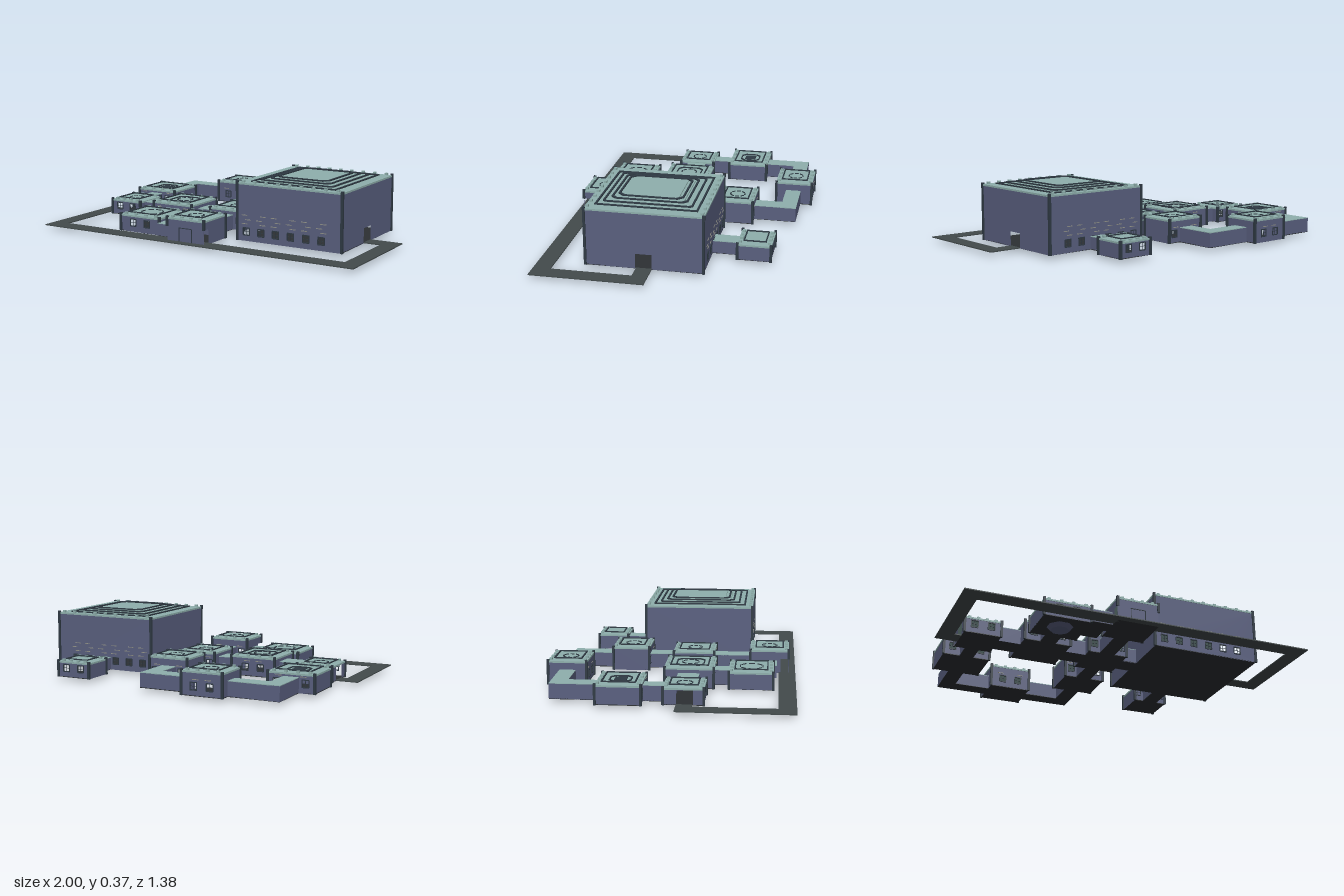
import * as THREE from 'three';

const mat = (color, extra = {}) => new THREE.MeshStandardMaterial({ color, ...extra });
const WALL = mat(0x5a6080);
const TEAL = mat(0x8fb0ad);
const DARK = mat(0x2f3a44);
const PAVING = mat(0x434b4c);
const FLOOR = mat(0x2c3033);
const SLIT = mat(0x8f9088);
const BASE = 0.02, DOOR_TOP = 0.105;

// Box given by its limits on each axis
function block(parent, name, m, x0, x1, y0, y1, z0, z1) {
  const mesh = new THREE.Mesh(new THREE.BoxGeometry(x1 - x0, y1 - y0, z1 - z0), m);
  mesh.position.set((x0 + x1) / 2, (y0 + y1) / 2, (z0 + z1) / 2);
  mesh.name = name;
  parent.add(mesh);
  return mesh;
}

// Flat rectangular frame lying on a roof
function roofFrame(parent, cx, cz, hx, hz, y, t = 0.008, h = 0.005, cut = 0) {
  const outline = (s, a, b, c) => {
    if (!c) s.moveTo(-a, -b).lineTo(a, -b).lineTo(a, b).lineTo(-a, b).closePath();
    else {
      s.moveTo(-a + c, -b).lineTo(a - c, -b).lineTo(a, -b + c).lineTo(a, b - c)
        .lineTo(a - c, b).lineTo(-a + c, b).lineTo(-a, b - c).lineTo(-a, -b + c).closePath();
    }
    return s;
  };
  const shape = outline(new THREE.Shape(), hx, hz, cut);
  shape.holes.push(outline(new THREE.Path(), hx - t, hz - t, cut));
  const mesh = new THREE.Mesh(new THREE.ExtrudeGeometry(shape, { depth: h, bevelEnabled: false }), DARK);
  mesh.rotation.x = -Math.PI / 2;
  mesh.position.set(cx, y, cz);
  mesh.name = 'roofFrame';
  parent.add(mesh);
}

// Eight separate bars around a roof centre
function dashedOctagon(parent, cx, cz, r, y) {
  for (let i = 0; i < 8; i++) {
    const a = i * Math.PI / 4;
    const bar = new THREE.Mesh(new THREE.BoxGeometry(r * 0.55, 0.004, 0.006), DARK);
    bar.position.set(cx + Math.sin(a) * r, y, cz + Math.cos(a) * r);
    bar.rotation.y = a;
    bar.name = 'roofOctagonBar';
    parent.add(bar);
  }
}

// One outward-facing wall; openings are [u0, u1, y0, y1] around the wall centre
function wall(parent, name, w, top, openings, x, z, turn) {
  const s = new THREE.Shape();
  s.moveTo(-w / 2, BASE).lineTo(w / 2, BASE).lineTo(w / 2, top).lineTo(-w / 2, top).closePath();
  for (const [a, b, c, d] of openings) {
    s.holes.push(new THREE.Path().moveTo(a, c).lineTo(a, d).lineTo(b, d).lineTo(b, c).closePath());
  }
  const g = new THREE.Group();
  g.name = name;
  const mesh = new THREE.Mesh(new THREE.ShapeGeometry(s), WALL);
  mesh.name = name + 'Panel';
  g.add(mesh);
  g.position.set(x, 0, z);
  g.rotation.y = turn;
  parent.add(g);
  return g;
}

// Window frame with a cross bar
function windowFrame(g, u) {
  const h = 0.02, y0 = 0.054, y1 = 0.094;
  block(g, 'windowSill', DARK, u - h, u + h, y0 - 0.003, y0 + 0.002, -0.002, 0.005);
  block(g, 'windowHead', DARK, u - h, u + h, y1 - 0.002, y1 + 0.003, -0.002, 0.005);
  for (const d of [-h, h]) block(g, 'windowJamb', DARK, u + d - 0.002, u + d + 0.002, y0, y1, -0.002, 0.004);
  block(g, 'windowMullion', DARK, u - 0.001, u + 0.001, y0, y1, -0.001, 0.002);
  block(g, 'windowTransom', DARK, u - h, u + h, 0.073, 0.075, -0.001, 0.002);
}

// Room: walls with openings, roof slab, posts, battlements and roof pattern
function room(root, r) {
  const { x0, x1, z0, z1, top } = r;
  const g = new THREE.Group();
  g.name = r.name;
  root.add(g);
  const cx = (x0 + x1) / 2, cz = (z0 + z1) / 2, w = x1 - x0, d = z1 - z0;

  block(g, 'floor', FLOOR, x0, x1, BASE, BASE + 0.004, z0, z1);
  block(g, 'roof', TEAL, x0 - 0.003, x1 + 0.003, top - 0.01, top, z0 - 0.003, z1 + 0.003);

  // Side walls
  for (const s of [1, -1]) {
    const door = s > 0 ? r.doorPlus : r.doorMinus;
    const holes = door ? [[Math.min(-s * (door[0] - cz), -s * (door[1] - cz)),
      Math.max(-s * (door[0] - cz), -s * (door[1] - cz)), BASE + 0.004, Math.min(DOOR_TOP, top - 0.012)]] : [];
    wall(g, s > 0 ? 'leftWall' : 'rightWall', d, top - 0.005, holes, s > 0 ? x1 : x0, cz, s * Math.PI / 2);
  }

  // Front and back walls with windows and vent slits
  for (const s of [1, -1]) {
    const blocked = s > 0 ? r.joinFront : r.joinBack;
    let us = r.windows || (blocked ? [-0.083, 0.083] : [-0.048, 0.048]);
    us = us.map(u => u * s).filter(u => !r.plainFront || s < 0);
    const holes = us.map(u => [u - 0.02, u + 0.02, 0.054, 0.094]);
    const face = wall(g, s > 0 ? 'frontWall' : 'backWall', w, top - 0.005, holes, cx, s > 0 ? z1 : z0, s > 0 ? 0 : Math.PI);
    us.forEach((u, i) => {
      windowFrame(face, u);
      const rows = top > 0.3 ? [0.115, 0.138, 0.163] : [0.108];
      rows.forEach((y, k) => {
        if (y > top - 0.012) return;
        const shift = ((i + k) % 2) * 0.024 - 0.012;
        block(face, 'ventSlit', SLIT, u + shift - 0.018, u + shift + 0.018, y, y + 0.004, 0, 0.003);
      });
    });
    if (r.plainFront && s > 0) {
      for (const u of [-0.042, 0.042]) block(face, 'doorJamb', DARK, u - 0.002, u + 0.002, 0.025, 0.1, 0, 0.003);
      block(face, 'doorHead', DARK, -0.042, 0.042, 0.1, 0.104, 0, 0.003);
    }
    // Battlement blocks along the roof edge
    const n = top > 0.3 ? 9 : 4, span = w - 0.06;
    for (let i = 0; i < n; i++) {
      const x = cx - span / 2 + span * i / (n - 1), z = (s > 0 ? z1 - 0.012 : z0 + 0.012);
      block(g, 'battlement', TEAL, x - 0.008, x + 0.008, top, top + 0.012, z - 0.008, z + 0.008);
    }
    // Corner posts
    for (const x of [x0, x1]) {
      const z = s > 0 ? z1 : z0, y0 = r.plainFront && s > 0 ? DOOR_TOP : BASE;
      block(g, 'cornerPost', DARK, x - 0.007, x + 0.007, y0, top + 0.008, z - 0.007, z + 0.007);
    }
  }

  // Roof pattern
  if (top > 0.3) {
    [[0.06, 0], [0.095, 0.012], [0.13, 0.025], [0.16, 0.03]].forEach(([inset, cut], i) => {
      const hx = w / 2 - inset, hz = d / 2 - inset + 0.018, y = top + i * 0.007;
      if (i) block(g, 'roofStep', TEAL, cx - hx + cut, cx + hx - cut, top, y, cz - hz + cut, cz + hz - cut);
      roofFrame(g, cx, cz, hx, hz, y, 0.01, 0.007, cut);
    });
    return;
  }
  roofFrame(g, cx, cz, w / 2 - 0.03, d / 2 - 0.028, top + 0.008, 0.007, 0.006);
  if (r.octagon) dashedOctagon(g, cx, cz, r.octagon, top + 0.004);
  if (r.innerFrame) roofFrame(g, cx, cz, r.innerFrame, r.innerFrame, top, 0.006, 0.006, 0.025);
  if (r.hatch) block(g, 'roofHatch', DARK, cx - 0.033, cx + 0.033, top, top + 0.004, cz - 0.033, cz + 0.033);
}

// Corridor: open at both ends when it runs along x through doorways
function corridor(root, x0, x1, z0, z1, open = false, top = 0.107) {
  const g = new THREE.Group();
  g.name = 'corridor';
  root.add(g);
  if (open) {
    for (const z of [z0, z1 - 0.004]) block(g, 'corridorWall', WALL, x0, x1, BASE, top - 0.003, z, z + 0.004);
  } else block(g, 'corridorWalls', WALL, x0, x1, BASE + 0.002, top - 0.003, z0, z1);
  block(g, 'corridorFloor', FLOOR, x0, x1, BASE, BASE + 0.004, z0, z1);
  block(g, 'corridorRoof', TEAL, x0, x1, top - 0.004, top, z0, z1);
}

export function createModel() {
  const root = new THREE.Group();
  root.name = 'buildingComplex';
  const door = [0.06, 0.15];

  const rooms = [
    { name: 'greatHall', x0: 0.17, x1: 0.81, z0: -0.22, z1: 0.425, top: 0.345, doorPlus: door, doorMinus: door,
      windows: [-0.263, -0.17, -0.078, 0.015, 0.108, 0.2] },
    { name: 'centreRoom', x0: -0.145, x1: 0.085, z0: -0.02, z1: 0.215, top: 0.135, doorPlus: door, doorMinus: door,
      joinFront: true, joinBack: true, octagon: 0.04 },
    { name: 'middleRoom', x0: -0.535, x1: -0.265, z0: -0.035, z1: 0.235, top: 0.135, doorPlus: door, doorMinus: door,
      joinFront: true, octagon: 0.045, innerFrame: 0.078 },
    { name: 'entryRoom', x0: -0.872, x1: -0.662, z0: -0.008, z1: 0.205, top: 0.112, doorPlus: door, doorMinus: door,
      joinBack: true, octagon: 0.04 },
    { name: 'hatchRoom', x0: -0.905, x1: -0.635, z0: -0.36, z1: -0.12, top: 0.127, joinFront: true, joinBack: true,
      hatch: true, innerFrame: 0.06 },
    { name: 'backRoom', x0: -0.52, x1: -0.28, z0: -0.685, z1: -0.47, top: 0.155, octagon: 0.042 },
    { name: 'innerBackRoom', x0: -0.15, x1: 0.09, z0: -0.375, z1: -0.165, top: 0.155, joinFront: true, joinBack: true,
      octagon: 0.042 },
    { name: 'frontRoom', x0: -0.535, x1: -0.265, z0: 0.318, z1: 0.56, top: 0.117, joinBack: true, octagon: 0.062 },
    { name: 'gateRoom', x0: -0.15, x1: 0.09, z0: 0.425, z1: 0.645, top: 0.155, doorPlus: [0.6, 0.642],
      doorMinus: [0.6, 0.642], plainFront: true, joinBack: true, octagon: 0.042 },
    { name: 'annexRoom', x0: 0.39, x1: 0.595, z0: -0.548, z1: -0.365, top: 0.112, joinFront: true },
  ];
  rooms.forEach(r => room(root, r));

  // Corridors along the main axis, then the side links
  for (const [a, b] of [[0.085, 0.17], [-0.265, -0.145], [-0.662, -0.535]]) corridor(root, a, b, 0.04, 0.158, true);
  corridor(root, -0.81, -0.73, -0.12, -0.008);
  corridor(root, -0.815, -0.725, -0.62, -0.36);
  corridor(root, -0.725, -0.52, -0.62, -0.53);
  corridor(root, -0.28, -0.08, -0.62, -0.53);
  corridor(root, -0.08, 0.01, -0.62, -0.375);
  corridor(root, -0.08, 0.01, -0.165, -0.02);
  corridor(root, -0.08, 0.01, 0.215, 0.425);
  corridor(root, -0.445, -0.355, 0.235, 0.318);
  corridor(root, -0.265, -0.17, 0.39, 0.49, false, 0.095);
  corridor(root, -0.265, -0.15, 0.49, 0.578, false, 0.095);
  corridor(root, 0.445, 0.535, -0.365, -0.22, false, 0.095);

  // Paved road around the front and both sides
  for (const s of [1, -1]) {
    const inner = s > 0 ? 0.81 : 0.872;
    block(root, 'sideRoad', PAVING, Math.min(s * 0.91, s), Math.max(s * 0.91, s), 0.02, 0.026, 0.06, 0.59);
    block(root, 'roadStub', PAVING, Math.min(s * inner, s * 0.91), Math.max(s * inner, s * 0.91), 0.02, 0.026, 0.06, 0.145);
  }
  block(root, 'frontRoad', PAVING, -1, 1, 0.02, 0.026, 0.59, 0.685);

  // Sunken pit below the front room
  const pit = new THREE.Mesh(new THREE.CylinderGeometry(0.075, 0.052, 0.022, 8), mat(0x5a6080, { flatShading: true }));
  pit.position.set(-0.405, 0.011, 0.445);
  pit.rotation.y = Math.PI / 8;
  pit.name = 'sunkenPit';
  root.add(pit);
  return root;
}
